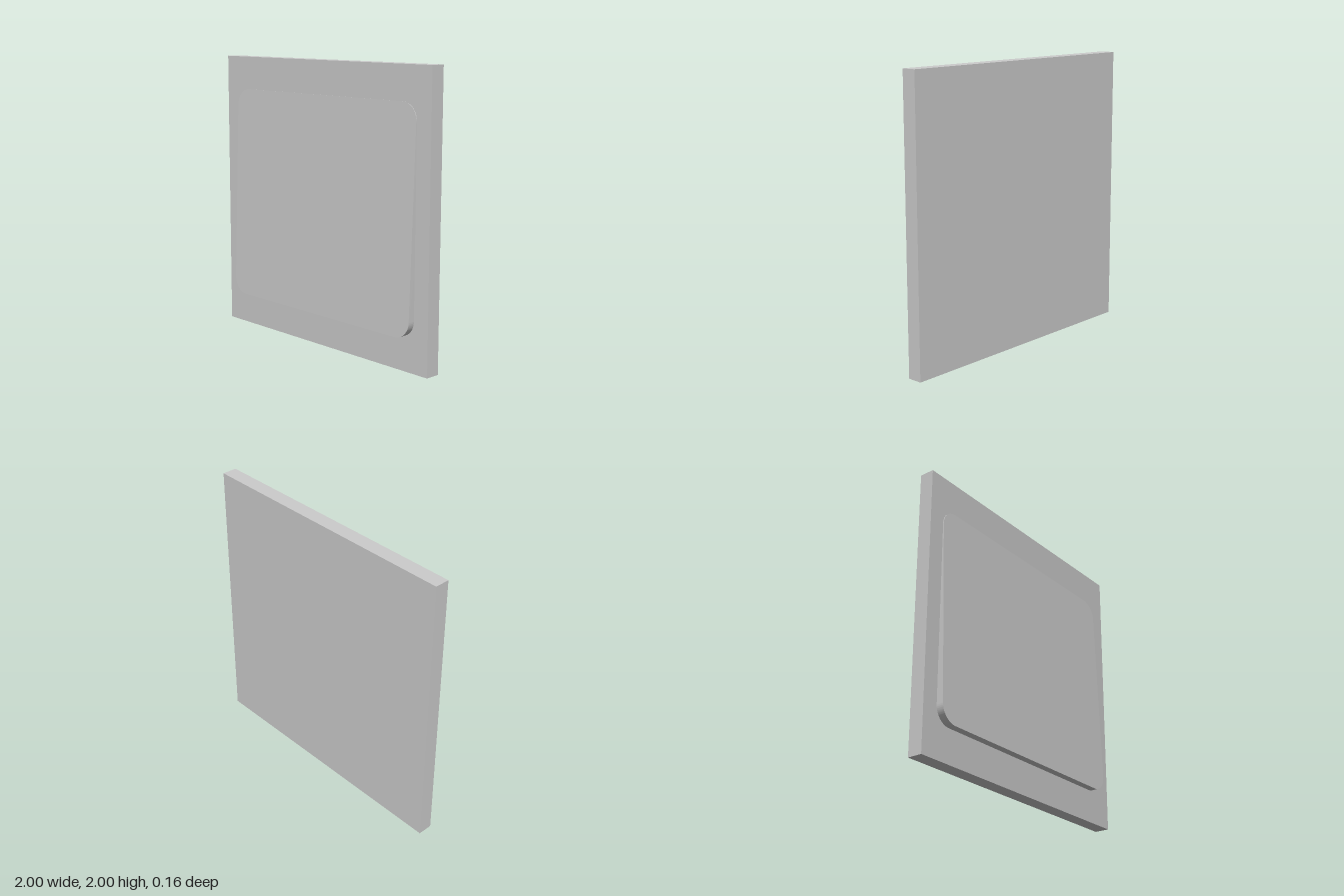
import * as THREE from 'three';
import { toCreasedNormals } from 'three/addons/utils/BufferGeometryUtils.js';

const W = 0.88, BOTTOM = 0.235, TOP = 1.765, R = 0.12;
const BACK = -0.08, FACE = 0.025, FRONT = 0.08;

// Rounded rectangle outline of the raised panel
function panelShape() {
  const s = new THREE.Shape();
  s.absarc(W - R, BOTTOM + R, R, -Math.PI / 2, 0);
  s.absarc(W - R, TOP - R, R, 0, Math.PI / 2);
  s.absarc(-W + R, TOP - R, R, Math.PI / 2, Math.PI);
  s.absarc(-W + R, BOTTOM + R, R, Math.PI, Math.PI * 1.5);
  s.closePath();
  return s;
}

export function createModel() {
  const group = new THREE.Group();
  const material = new THREE.MeshStandardMaterial({ color: 0xcccccc });

  // Square backing slab
  const slab = new THREE.Mesh(new THREE.BoxGeometry(2, 2, FACE - BACK), material);
  slab.name = 'backingSlab';
  slab.position.set(0, 1, (BACK + FACE) / 2);
  group.add(slab);

  // Wedge panel: thick at the bottom, almost flush with the slab at the top
  const geo = new THREE.ExtrudeGeometry(panelShape(), { depth: 1, bevelEnabled: false, curveSegments: 16 });
  const pos = geo.attributes.position;
  for (let i = 0; i < pos.count; i++) {
    const t = (pos.getY(i) - BOTTOM) / (TOP - BOTTOM);
    const front = THREE.MathUtils.lerp(FRONT, FACE + 0.002, t);
    pos.setZ(i, pos.getZ(i) > 0.5 ? front : FACE - 0.01);
  }
  const panel = new THREE.Mesh(toCreasedNormals(geo, 0.6), material);
  panel.name = 'slopedPanel';
  group.add(panel);

  return group;
}
